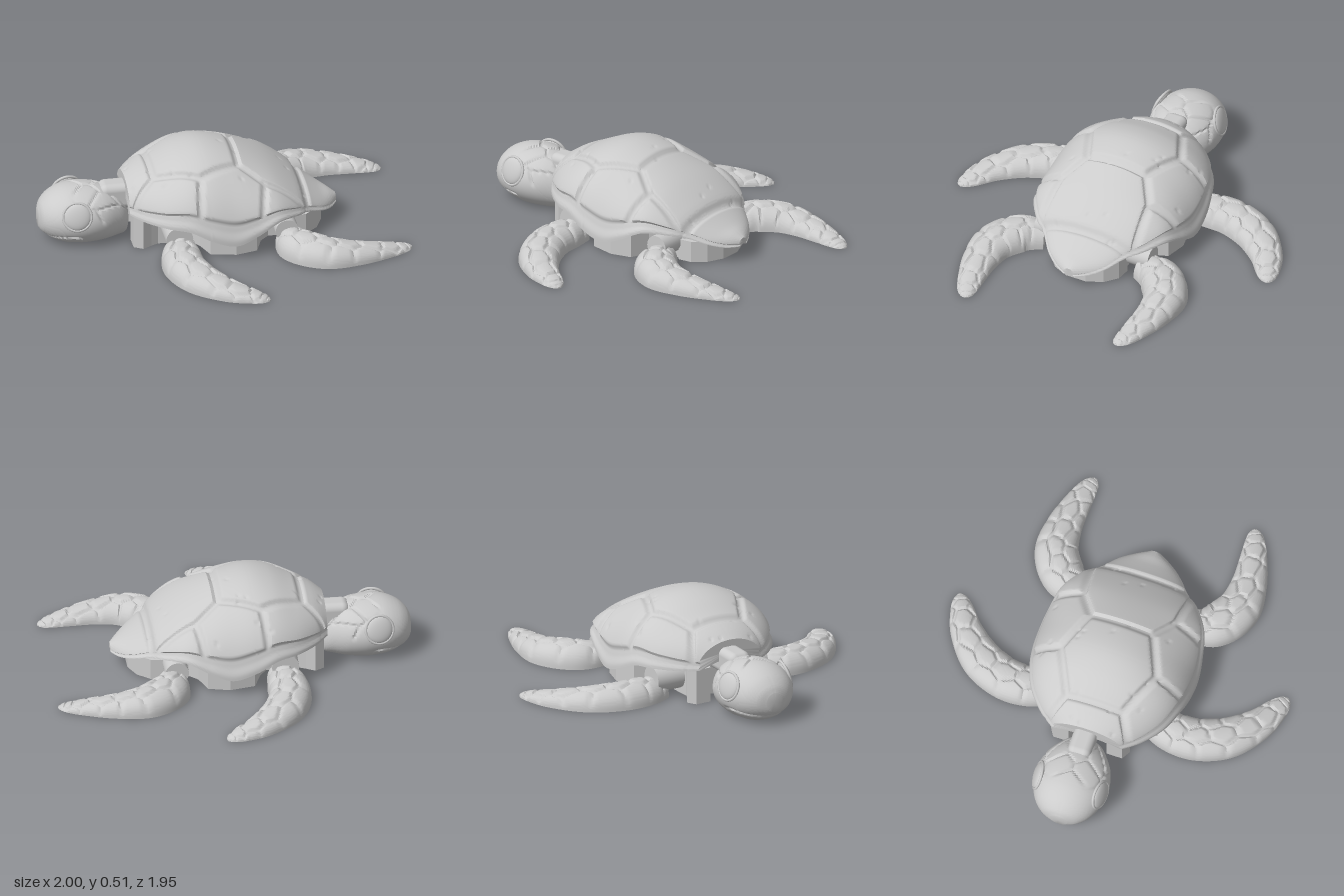
import * as THREE from 'three';
import { toCreasedNormals } from 'three/addons/utils/BufferGeometryUtils.js';
import { RoundedBoxGeometry } from 'three/addons/geometries/RoundedBoxGeometry.js';

const material = new THREE.MeshStandardMaterial({ color: 0xcccccc, roughness: 0.8 });
const { clamp, smoothstep } = THREE.MathUtils;

function mesh(name, geometry) {
  const m = new THREE.Mesh(geometry, material);
  m.name = name;
  return m;
}

// Seeded random numbers
function seeded(seed) {
  return () => (seed = (seed * 16807) % 2147483647) / 2147483647;
}

// Smooth interpolation through a table of profile rows
function sample(rows, t) {
  const f = t * (rows.length - 1), i = Math.min(Math.floor(f), rows.length - 2), k = f - i;
  return rows[i].map((_, c) => {
    const p = (j) => rows[clamp(j, 0, rows.length - 1)][c];
    const a = p(i - 1), b = p(i), d = p(i + 1), e = p(i + 2);
    return b + 0.5 * k * (d - a + k * (2 * a - 5 * b + 4 * d - e + k * (3 * (b - d) + e - a)));
  });
}

// Distance from a point to the border of its scale
function borderDistance(seeds, x, y) {
  const d2 = (p) => (p[0] - x) ** 2 + (p[1] - y) ** 2;
  const own = seeds.reduce((a, b) => (d2(b) < d2(a) ? b : a));
  let best = 1;
  for (const p of seeds) {
    if (p === own) continue;
    best = Math.min(best, (d2(p) - d2(own)) / (2 * Math.hypot(p[0] - own[0], p[1] - own[1])));
  }
  return best;
}

// Skin a series of closed loops and cap both ends
function loft(nu, nv, point, crease = 0.7) {
  const pos = [], index = [];
  for (let i = 0; i <= nu; i++) for (let j = 0; j < nv; j++) pos.push(...point(i / nu, j / nv));
  for (let i = 0; i < nu; i++) {
    for (let j = 0; j < nv; j++) {
      const a = i * nv + j, b = i * nv + (j + 1) % nv;
      index.push(a, a + nv, b, b, a + nv, b + nv);
    }
  }
  for (const row of [0, nu]) {
    const centre = [0, 0, 0], id = pos.length / 3;
    for (let j = 0; j < nv; j++) for (let c = 0; c < 3; c++) centre[c] += pos[(row * nv + j) * 3 + c] / nv;
    pos.push(...centre);
    for (let j = 0; j < nv; j++) {
      const a = row * nv + j, b = row * nv + (j + 1) % nv;
      index.push(id, ...(row ? [b, a] : [a, b]));
    }
  }
  const g = new THREE.BufferGeometry();
  g.setAttribute('position', new THREE.Float32BufferAttribute(pos, 3));
  g.setIndex(index);
  return toCreasedNormals(g, crease);
}

// Domed shell with raised scutes. Rows: x, half width, top, rim
function shell() {
  const rows = [
    [-0.52, 0.19, 0.33, 0.2], [-0.45, 0.28, 0.375, 0.195], [-0.34, 0.37, 0.425, 0.19],
    [-0.22, 0.42, 0.475, 0.18], [-0.1, 0.445, 0.495, 0.125], [0.03, 0.45, 0.475, 0.09],
    [0.15, 0.435, 0.43, 0.13], [0.28, 0.4, 0.365, 0.19], [0.4, 0.32, 0.285, 0.18],
    [0.47, 0.24, 0.225, 0.155], [0.56, 0.165, 0.165, 0.115], [0.62, 0.09, 0.135, 0.09], [0.66, 0.02, 0.11, 0.085],
  ];
  const seeds = [[-0.6, 0], [-0.17, 0], [0.34, 0], [0.58, 0]];
  for (const s of [1, -1]) seeds.push([-0.37, 0.42 * s], [0.03, 0.48 * s], [0.3, 0.54 * s]);
  const rnd = seeded(11), pits = [];
  for (let i = 0; i < 30; i++) pits.push([rnd() - 0.5, 0.8 * rnd() - 0.4]);
  return loft(150, 144, (u, v) => {
    const [x, w, top, rim] = sample(rows, u);
    if (v >= 0.85) { // hollow underside
      const k = (v - 0.85) / 0.15;
      return [x, rim + 0.3 * (top - rim) * Math.sin(k * Math.PI), w * (2 * k - 1)];
    }
    const a = (v / 0.85) * Math.PI, s = Math.sin(a), c = Math.cos(a);
    const z = w * c;
    const border = Math.min(borderDistance(seeds, x, z), 0.35 * (s - 0.26));
    let d = 0.018 * smoothstep(border, 0.006, 0.028);
    for (const p of pits) d -= 0.007 * (1 - smoothstep(Math.hypot(p[0] - x, p[1] - z), 0, 0.016));
    d += 0.012 * (1 - smoothstep(s, 0.05, 0.2)); // rolled lip
    return [x, rim + (top - rim) * s ** 0.95 + d * s, z + d * c];
  });
}

// Flat-bottomed body with bays for the limbs and a slot for the neck
function slab(half, height) {
  const shape = new THREE.Shape();
  const outline = [...half, ...half.slice().reverse().map(([x, z]) => [x, -z])];
  outline.forEach(([x, z], i) => (i ? shape.lineTo(x, z) : shape.moveTo(x, z)));
  const g = new THREE.ExtrudeGeometry(shape, { depth: height, bevelEnabled: false });
  g.rotateX(-Math.PI / 2);
  return g;
}

// Flipper with a flat base and scaly back. Rows: x, z, half width, height
function flipper(rows, side, seed) {
  const rnd = seeded(seed), seeds = [];
  for (let i = 0; i < 10; i++) {
    for (const lane of [-0.085, 0, 0.085]) {
      seeds.push([i * 0.095 + (lane ? 0 : 0.045) + 0.04 * rnd(), lane + 0.04 * (rnd() - 0.5)]);
    }
  }
  return loft(90, 60, (u, v) => {
    const [x, z, w, h] = sample(rows, u);
    const p = sample(rows, Math.max(0, u - 0.02)), q = sample(rows, Math.min(1, u + 0.02));
    const len = Math.hypot(q[0] - p[0], q[1] - p[1]);
    const jx = (side * (q[1] - p[1])) / len, jz = -(q[0] - p[0]) / len;
    let across, y = 0;
    if (v < 0.8) {
      const a = (v / 0.8) * Math.PI, s = Math.sin(a);
      across = -w * Math.cos(a);
      const plate = smoothstep(borderDistance(seeds, u * 0.85, across), 0.002, 0.014);
      y = Math.max(0, h * s ** 0.75 - 0.014 * (1 - plate) * Math.min(1, 3 * s) * Math.min(1, h / 0.05));
    } else across = w * (1 - (2 * (v - 0.8)) / 0.2);
    return [x + jx * across, y, side * z + jz * across];
  });
}

// Blunt head with a mouth line and scales. Rows: x, half width, top, bottom
function headSkin() {
  const rows = [
    [-1, 0.05, 0.19, 0.08], [-0.98, 0.105, 0.23, 0.055], [-0.93, 0.158, 0.275, 0.02],
    [-0.85, 0.195, 0.307, -0.01], [-0.75, 0.208, 0.312, -0.015], [-0.65, 0.185, 0.295, -0.01],
    [-0.57, 0.135, 0.255, 0], [-0.52, 0.09, 0.2, 0.01], [-0.5, 0.04, 0.15, 0.04],
  ];
  const seeds = [[-0.82, 0], [-0.73, 0.06], [-0.73, -0.06], [-0.65, 0], [-0.64, 0.12], [-0.64, -0.12],
    [-0.56, 0.06], [-0.56, -0.06], [-0.6, 0.24], [-0.6, -0.24], [-0.92, 0.2], [-0.92, -0.2], [-0.75, 0.3], [-0.75, -0.3]];
  return loft(90, 96, (u, v) => {
    const [x, w, top, bottom] = sample(rows, u);
    const a = v * 2 * Math.PI, s = Math.sin(a), c = Math.cos(a);
    const mid = (top + bottom) / 2, h = (top - bottom) / 2;
    const girth = (Math.PI / 2 - a) * 0.2;
    const line = 1 - smoothstep(borderDistance(seeds, x, girth), 0.003, 0.011);
    const scaly = smoothstep(x, -0.84, -0.78) * smoothstep(s, 0, 0.2);
    let y = mid + h * s;
    const lip = 0.05 + 0.02 * smoothstep(x, -0.98, -0.85);
    const mouth = (1 - smoothstep(Math.abs(y - lip), 0.003, 0.013)) * (1 - smoothstep(x, -0.82, -0.76));
    const jaw = y < lip && x < -0.78 ? 0.95 : 1;
    const d = -0.01 * line * scaly - 0.012 * mouth;
    y = Math.max(0, y + d * s);
    return [x, y, w * c * jaw + d * c];
  });
}

export function createModel() {
  const turtle = new THREE.Group();
  turtle.name = 'seaTurtle';
  turtle.add(mesh('shell', shell()));
  turtle.add(mesh('body', slab([
    [-0.4, 0.08], [-0.5, 0.11], [-0.5, 0.2], [-0.45, 0.23], [-0.4, 0.2], [-0.36, 0.18], [-0.18, 0.19],
    [-0.14, 0.25], [-0.1, 0.36], [0.04, 0.39], [0.16, 0.36], [0.2, 0.25], [0.25, 0.2], [0.4, 0.2], [0.42, 0.17],
  ], 0.2)));
  turtle.add(mesh('tailPlate', slab([[0.38, 0.22], [0.46, 0.21], [0.53, 0.15], [0.57, 0.06]], 0.12)));

  // Head, neck and eyes
  const head = new THREE.Group();
  head.name = 'head';
  head.add(mesh('skull', headSkin()));
  const neck = mesh('neck', new RoundedBoxGeometry(0.28, 0.15, 0.13, 4, 0.04));
  neck.position.set(-0.52, 0.235, -0.005);
  head.add(neck);
  for (const side of [1, -1]) {
    const eye = new THREE.Group();
    eye.name = 'eye';
    const ball = mesh('eyeball', new THREE.SphereGeometry(0.075, 32, 20));
    ball.scale.z = 0.32;
    eye.add(ball, mesh('eyelid', new THREE.TorusGeometry(0.078, 0.008, 8, 40)));
    eye.position.set(-0.81, 0.205, 0.18 * side);
    eye.rotation.set(-0.3 * side, -0.15 * side, 0);
    head.add(eye);
  }
  turtle.add(head);

  // Flippers and their shoulder joints, mirrored across the body
  const front = [[-0.25, 0.29, 0.08, 0.1], [-0.27, 0.4, 0.11, 0.12], [-0.27, 0.55, 0.118, 0.12],
    [-0.205, 0.71, 0.115, 0.105], [-0.08, 0.84, 0.092, 0.075], [0.04, 0.91, 0.066, 0.045], [0.1, 0.94, 0.04, 0.025], [0.125, 0.952, 0.01, 0.008]];
  const rear = [[0.345, 0.3, 0.08, 0.11], [0.39, 0.43, 0.12, 0.13], [0.52, 0.525, 0.122, 0.12],
    [0.68, 0.535, 0.1, 0.09], [0.83, 0.51, 0.077, 0.06], [0.93, 0.485, 0.057, 0.035], [0.98, 0.465, 0.035, 0.018], [0.998, 0.455, 0.01, 0.006]];
  for (const side of [1, -1]) {
    turtle.add(mesh('frontFlipper', flipper(front, side, 7 + side)));
    turtle.add(mesh('rearFlipper', flipper(rear, side, 23 + side)));
    for (const [name, x, r] of [['frontJoint', -0.27, 0.075], ['rearJoint', 0.33, 0.065]]) {
      const joint = mesh(name, new THREE.CylinderGeometry(r, r, 0.2, 28));
      joint.rotation.x = Math.PI / 2;
      joint.position.set(x, 0.1, 0.25 * side);
      turtle.add(joint);
    }
  }
  return turtle;
}
